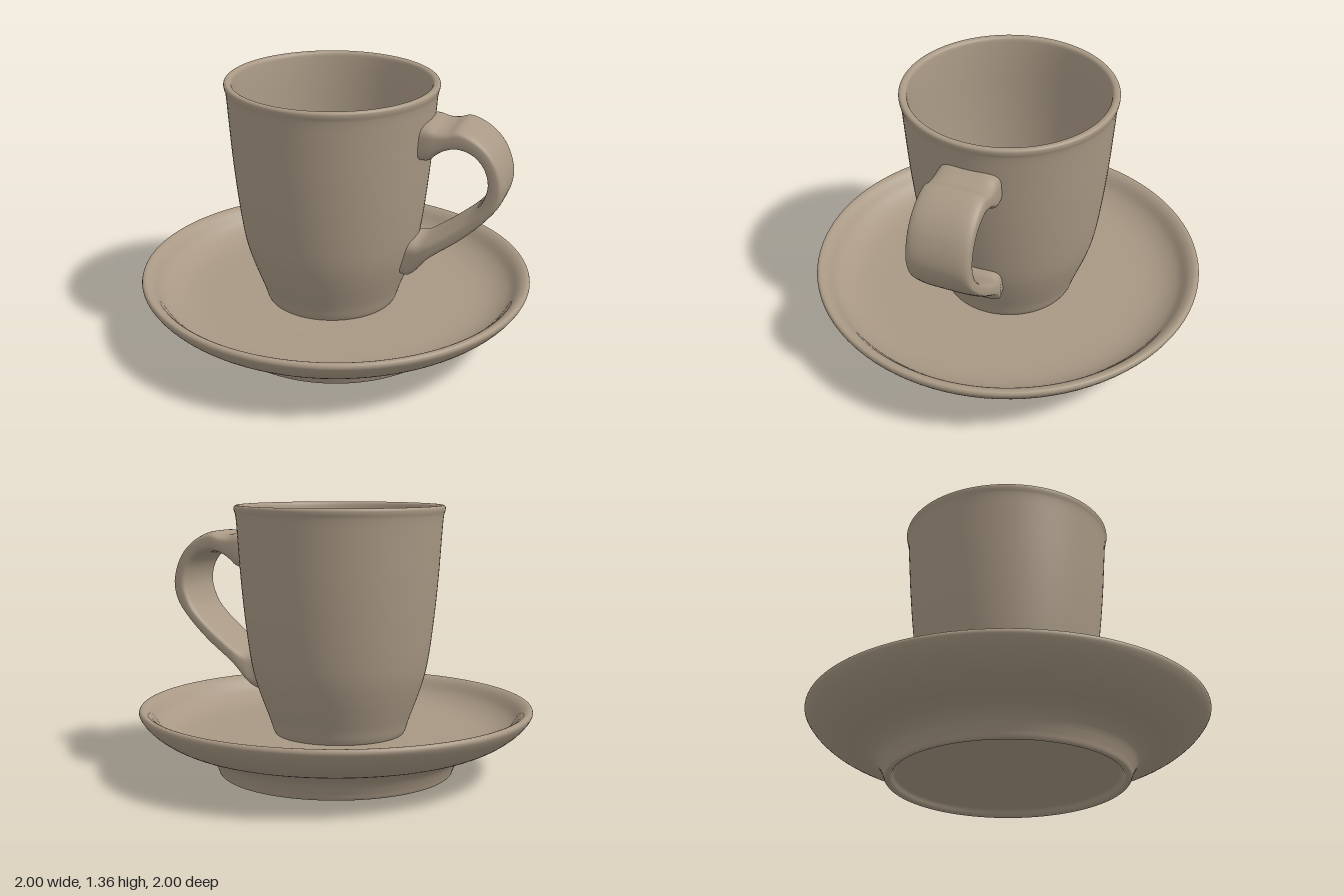
import * as THREE from 'three';

const CUP_X = -0.02;

// Smooth lathe through a few [radius, y] points
function turned(name, points, material) {
  const curve = new THREE.CatmullRomCurve3(points.map(([r, y]) => new THREE.Vector3(r, y, 0)));
  const profile = [];
  const n = (points.length - 1) * 4;
  for (let i = 0; i <= n; i++) {
    const p = curve.getPoint(i / n);
    profile.push(new THREE.Vector2(Math.max(p.x, 0), p.y));
  }
  const mesh = new THREE.Mesh(new THREE.LatheGeometry(profile, 96), material);
  mesh.name = name;
  return mesh;
}

// Strap with a rounded rectangular section, lofted between an outer and an inner edge line
function strapGeometry(stations) {
  const line = (a, b) => new THREE.CatmullRomCurve3(stations.map(s => new THREE.Vector3(s[a], s[b], 0)));
  const widths = new THREE.CatmullRomCurve3(stations.map((s, i) => new THREE.Vector3(s[4], i, 0)));
  const outer = line(0, 1), inner = line(2, 3);
  const steps = (stations.length - 1) * 6, sides = 40;
  const position = [], index = [];
  const round = v => Math.sign(v) * Math.pow(Math.abs(v), 0.5);
  for (let i = 0; i <= steps; i++) {
    const o = outer.getPoint(i / steps), n = inner.getPoint(i / steps);
    const w = widths.getPoint(i / steps).x;
    const mid = o.clone().add(n).multiplyScalar(0.5);
    const half = o.sub(n).multiplyScalar(0.5);
    for (let j = 0; j < sides; j++) {
      const a = (j / sides) * Math.PI * 2;
      const c = round(Math.cos(a));
      position.push(mid.x + half.x * c, mid.y + half.y * c, w * round(Math.sin(a)));
      if (i < steps) {
        const k = (j + 1) % sides, p = i * sides, q = p + sides;
        index.push(p + j, p + k, q + j, p + k, q + k, q + j);
      }
    }
  }
  const geometry = new THREE.BufferGeometry();
  geometry.setAttribute('position', new THREE.Float32BufferAttribute(position, 3));
  geometry.setIndex(index);
  geometry.computeVertexNormals();
  return geometry;
}

export function createModel() {
  const model = new THREE.Group();
  model.name = 'cupAndSaucer';
  const clay = new THREE.MeshStandardMaterial({ color: 0xa89884 });
  clay.name = 'tan glaze';

  // Saucer: recessed underside, foot ring, flared rim, shallow well
  model.add(turned('saucer', [
    [0, 0.037], [0.3, 0.037], [0.54, 0.037], [0.555, 0.03], [0.57, 0.006], [0.585, 0], [0.597, 0.004],
    [0.61, 0.035], [0.64, 0.09], [0.70, 0.135], [0.82, 0.172], [0.90, 0.215], [0.96, 0.265],
    [0.994, 0.31], [1, 0.328], [0.993, 0.342], [0.975, 0.343], [0.945, 0.325], [0.90, 0.272],
    [0.84, 0.235], [0.76, 0.213], [0.6, 0.205], [0.3, 0.203], [0, 0.203],
  ], clay));

  // Cup: tapered body with a rolled lip and a hollow inside
  const cup = new THREE.Group();
  cup.name = 'cup';
  cup.position.x = CUP_X;
  cup.add(turned('cupBody', [
    [0, 0.195], [0.2, 0.195], [0.32, 0.195], [0.335, 0.21], [0.355, 0.27], [0.385, 0.35], [0.41, 0.42],
    [0.437, 0.51], [0.456, 0.61], [0.48, 0.8], [0.499, 1.0], [0.513, 1.2], [0.522, 1.31], [0.529, 1.335],
    [0.529, 1.35], [0.522, 1.358], [0.505, 1.358], [0.494, 1.35], [0.488, 1.32], [0.476, 1.2],
    [0.462, 1.0], [0.443, 0.8], [0.418, 0.61], [0.395, 0.5], [0.36, 0.39], [0.32, 0.295],
    [0.305, 0.27], [0.28, 0.258], [0.15, 0.255], [0, 0.255],
  ], clay));
  model.add(cup);

  // Handle stations: outer x, outer y, inner x, inner y, half width
  const handle = new THREE.Mesh(strapGeometry([
    [0.458, 1.222, 0.458, 1.03, 0.152],
    [0.505, 1.218, 0.508, 1.035, 0.155],
    [0.555, 1.204, 0.54, 1.065, 0.155],
    [0.60, 1.204, 0.585, 1.095, 0.155],
    [0.655, 1.218, 0.65, 1.11, 0.155],
    [0.76, 1.172, 0.73, 1.085, 0.155],
    [0.84, 1.085, 0.78, 1.025, 0.155],
    [0.882, 0.955, 0.797, 0.94, 0.155],
    [0.866, 0.86, 0.765, 0.84, 0.155],
    [0.80, 0.765, 0.72, 0.78, 0.155],
    [0.68, 0.647, 0.64, 0.71, 0.155],
    [0.52, 0.52, 0.53, 0.628, 0.152],
    [0.445, 0.43, 0.47, 0.597, 0.142],
    [0.405, 0.402, 0.43, 0.597, 0.13],
    [0.36, 0.41, 0.395, 0.60, 0.125],
  ]), clay);
  handle.name = 'handle';
  model.add(handle);

  return model;
}
